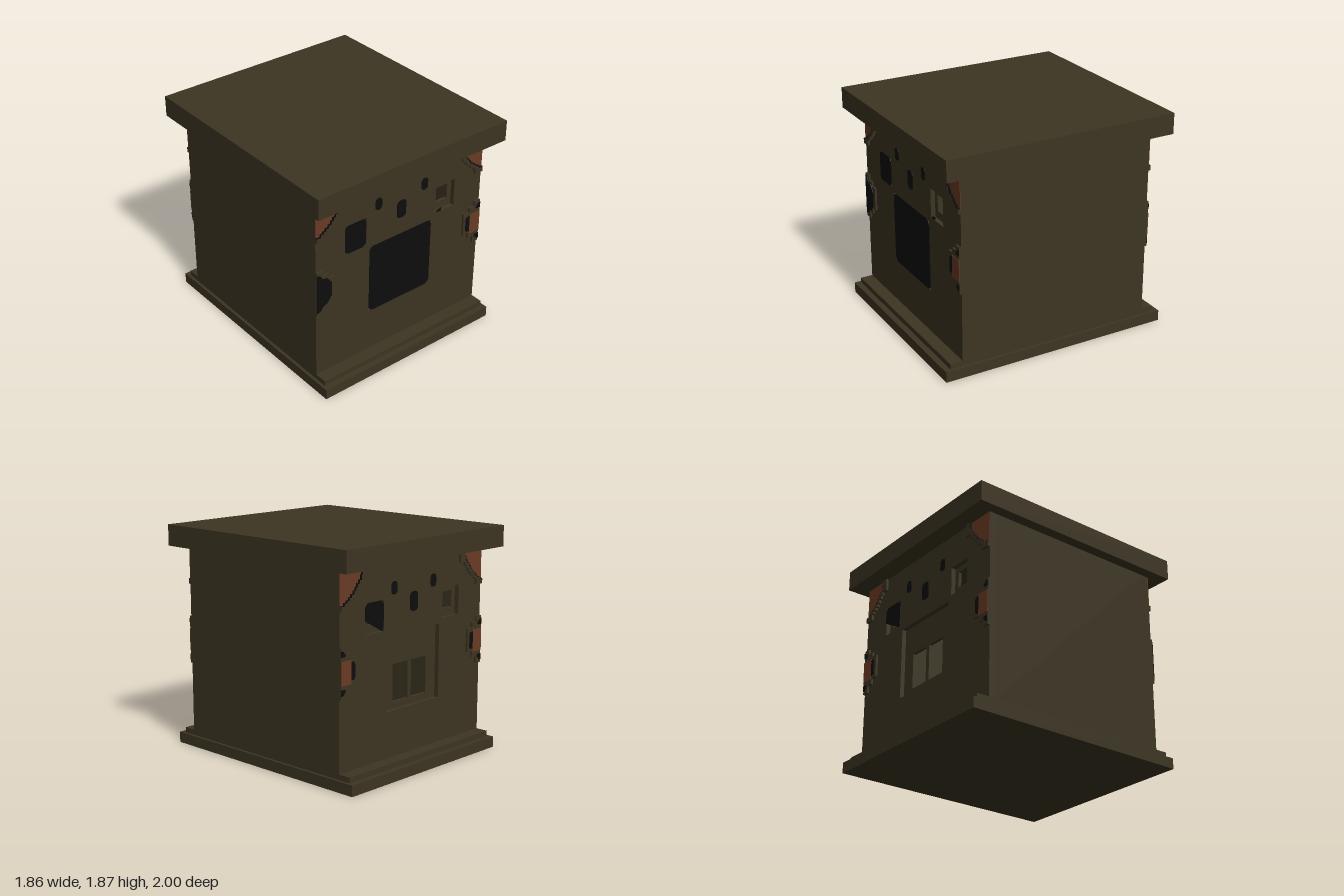
import * as THREE from 'three';

const mat = (name, color) => {
  const m = new THREE.MeshStandardMaterial({ color });
  m.name = name;
  return m;
};

const FACE = 0.843; // z of the outer wall face

export function createModel() {
  const olive = mat('olive stone', 0x3d3523);
  const rust = mat('rust panel', 0x6a3c25);
  const black = mat('black pane', 0x0d0d0d);
  const model = new THREE.Group();

  const add = (parent, name, geo, m) => {
    const mesh = new THREE.Mesh(geo, m);
    mesh.name = name;
    parent.add(mesh);
    return mesh;
  };
  const box = (parent, name, m, x0, x1, y0, y1, z0, z1) =>
    add(parent, name, new THREE.BoxGeometry(x1 - x0, y1 - y0, z1 - z0), m)
      .position.set((x0 + x1) / 2, (y0 + y1) / 2, (z0 + z1) / 2);
  const polygon = (pts, Type = THREE.Shape) => new Type(pts.map(([x, y]) => new THREE.Vector2(x, y)));
  const rect = (x0, x1, y0, y1) => [[x0, y0], [x1, y0], [x1, y1], [x0, y1]];
  const slab = (parent, name, m, shape, z0, z1) => {
    const g = new THREE.ExtrudeGeometry(shape, { depth: z1 - z0, bevelEnabled: false, curveSegments: 4 });
    return add(parent, name, g.translate(0, 0, z0), m);
  };
  const rounded = (x0, x1, y0, y1, r) => {
    const s = new THREE.Shape();
    s.absarc(x1 - r, y1 - r, r, 0, Math.PI / 2);
    s.absarc(x0 + r, y1 - r, r, Math.PI / 2, Math.PI);
    s.absarc(x0 + r, y0 + r, r, Math.PI, Math.PI * 1.5);
    s.absarc(x1 - r, y0 + r, r, Math.PI * 1.5, Math.PI * 2);
    return s;
  };
  const wall = (holes) => {
    const s = polygon(rect(-0.84, 0.84, 0.135, 1.69));
    s.holes = holes.map((h) => polygon(rect(...h), THREE.Path));
    return s;
  };
  // mirrors points in x, keeping the order of corners
  const side = (pts, sx) => (sx > 0 ? pts : pts.map(([x, y]) => [-x, y]).reverse());
  // turns a few corner points into a staircase
  const stairs = (pts) => pts.flatMap((p, i) => (i ? [[pts[i - 1][0], p[1]], p] : [p]));

  // Roof, plinth and side walls round a hollow room
  box(model, 'roof', olive, -0.93, 0.93, 1.69, 1.865, -1, 1);
  box(model, 'plinth', olive, -0.865, 0.865, 0, 0.09, -1, 1);
  box(model, 'plinthStep', olive, -0.84, 0.84, 0.09, 0.135, -0.95, 0.95);
  for (const s of [-1, 1]) {
    const [a, b] = s > 0 ? [0.76, 0.84] : [-0.84, -0.76];
    box(model, 'sideWall', olive, a, b, 0.135, 1.69, -0.78, 0.78);
  }

  // Corner ornament outlines, for the +x side
  const cornerInner = stairs([[0.61, 1.69], [0.62, 1.63], [0.64, 1.595], [0.66, 1.57], [0.68, 1.545],
    [0.70, 1.52], [0.725, 1.495], [0.75, 1.475], [0.775, 1.455], [0.80, 1.44], [0.84, 1.42]]);
  const cornerOuter = stairs([[0.555, 1.69], [0.555, 1.63], [0.61, 1.585], [0.63, 1.555], [0.655, 1.53],
    [0.68, 1.50], [0.705, 1.475], [0.735, 1.45], [0.76, 1.43], [0.79, 1.38], [0.84, 1.38]]);
  const midOuter = [[0.84, 1.11], [0.78, 1.11], [0.78, 1.065], [0.725, 1.065], [0.725, 1.025], [0.665, 1.025],
    [0.665, 0.825], [0.725, 0.825], [0.725, 0.775], [0.78, 0.775], [0.78, 0.715], [0.84, 0.715]];
  const midBlob = [[0.84, 1.09], [0.81, 1.08], [0.785, 1.04], [0.745, 1.035], [0.70, 0.98], [0.70, 0.86],
    [0.745, 0.80], [0.785, 0.785], [0.81, 0.75], [0.84, 0.74]];

  const facade = (isFront) => {
    const g = new THREE.Group();
    g.name = isFront ? 'frontFacade' : 'backFacade';

    // Wall in two layers, so that the openings sit in shallow recesses
    slab(g, 'innerWall', olive, wall([[-0.2, -0.02, 0.565, 0.87], [0.02, 0.2, 0.565, 0.87],
      [-0.51, -0.395, 1.225, 1.36], [0.395, 0.51, 1.225, 1.36]]), 0.78, 0.805);
    slab(g, 'outerWall', olive, wall([[-0.315, 0.315, 0.51, 1.12],
      [-0.555, -0.35, 1.16, 1.405], [0.35, 0.555, 1.16, 1.405]]), 0.805, FACE);

    // Black panes
    const pane = (name, shape) => slab(g, name, black, shape, FACE - 0.002, FACE + 0.004);
    pane('ovalWindow', rounded(-0.265, -0.2, 1.43, 1.535, 0.03));
    pane('ovalWindow', rounded(0.2, 0.265, 1.43, 1.535, 0.03));
    pane('centreWindow', rounded(-0.045, 0.045, 1.27, 1.425, 0.03));
    if (isFront) {
      pane('largeWindow', rounded(-0.315, 0.315, 0.51, 1.12, 0.045));
      pane('smallWindow', rounded(-0.56, -0.355, 1.155, 1.405, 0.04));
      pane('paneSliver', polygon([[0.365, 1.165], [0.42, 1.165], [0.42, 1.19], [0.38, 1.18]]));
    } else {
      pane('smallWindow', polygon([[-0.56, 1.27], [-0.37, 1.165], [-0.355, 1.19], [-0.355, 1.375],
        [-0.385, 1.405], [-0.53, 1.405], [-0.56, 1.375]]));
    }

    for (const sx of [-1, 1]) {
      // Upper corner: rust field inside a stepped stone edge with a dark lining
      slab(g, 'cornerPanel', rust, polygon(side([...cornerInner, [0.84, 1.69]], sx)), FACE - 0.003, FACE + 0.004);
      slab(g, 'cornerTrim', olive, polygon(side([...cornerOuter, ...[...cornerInner].reverse()], sx)), FACE - 0.003, 0.863);
      const shifted = cornerInner.map(([x, y]) => [Math.min(x + 0.004, 0.84), Math.min(y + 0.004, 1.69)]);
      slab(g, 'cornerLining', black, polygon(side([...cornerInner, ...shifted.reverse()], sx)), FACE - 0.003, 0.862);

      // Side ornament at mid height
      slab(g, 'sideTrim', olive, polygon(side(midOuter, sx)), FACE - 0.003, 0.86);
      const inset = (name, m, pts) => slab(g, name, m, polygon(side(pts, sx)), 0.857, 0.865);
      if (isFront && sx < 0) {
        inset('sidePane', black, midBlob);
      } else {
        inset('sidePanel', rust, rect(0.73, 0.84, 0.82, 1.005));
        inset('sideSlot', black, [[0.73, 0.85], [0.73, 0.99], [0.70, 0.99], [0.69, 0.97], [0.69, 0.87], [0.70, 0.85]]);
        inset('sideChip', black, [[0.84, 1.04], [0.84, 1.09], [0.815, 1.08], [0.79, 1.05], [0.80, 1.04]]);
        inset('sideChip', black, [[0.84, 0.74], [0.84, 0.79], [0.80, 0.79], [0.79, 0.775], [0.815, 0.745]]);
      }
    }
    return g;
  };

  const back = facade(false);
  back.rotation.y = Math.PI;
  model.add(facade(true), back);
  return model;
}
